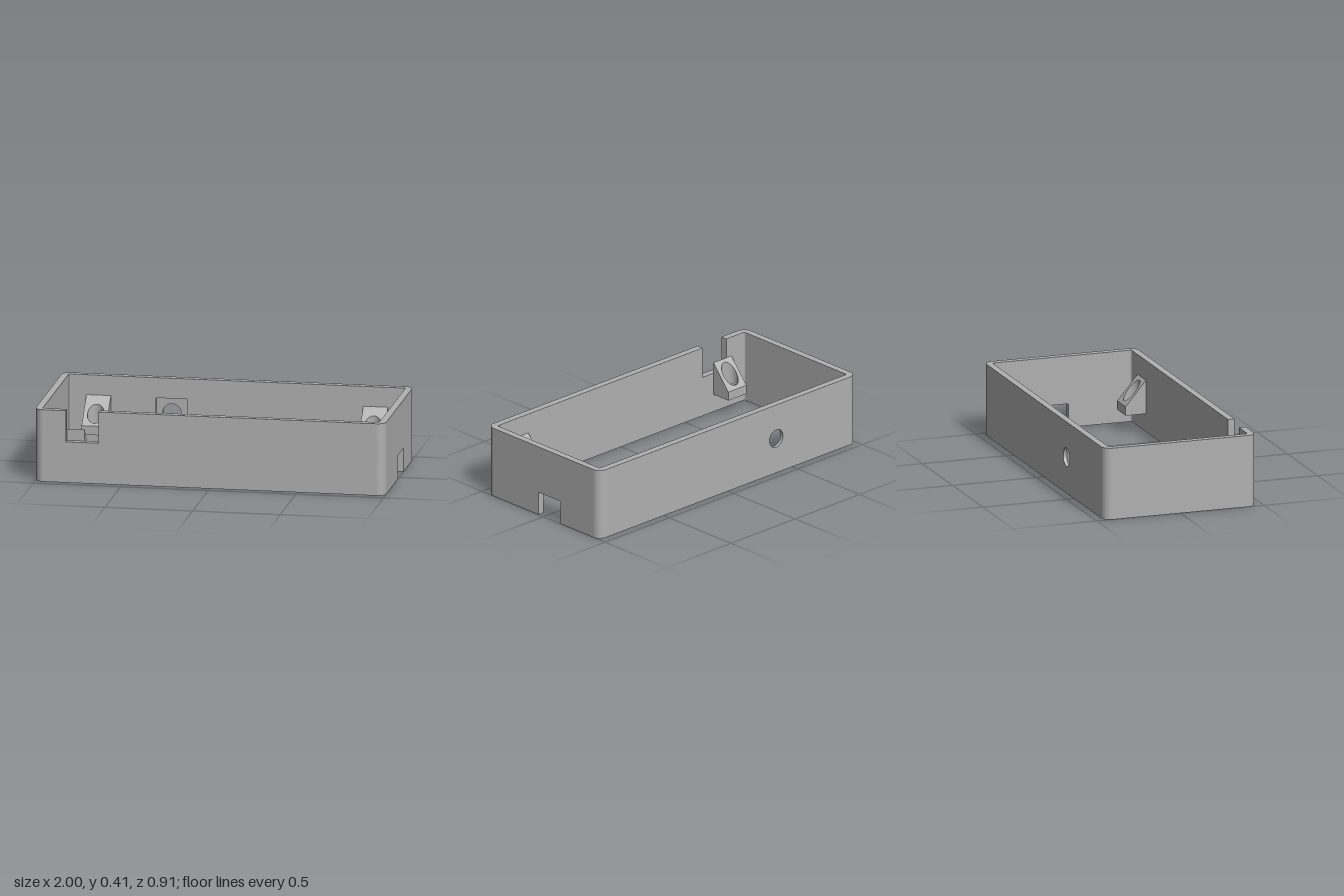
import * as THREE from 'three';
import { toCreasedNormals } from 'three/addons/utils/BufferGeometryUtils.js';

const W = 1, D = 0.455, H = 0.415, T = 0.04, R = 0.05; // half width, half depth, height, wall, corner radius

export function createModel() {
  const model = new THREE.Group();
  model.name = 'enclosureFrame';
  const grey = new THREE.MeshStandardMaterial({ color: 0xb0b0b0 });
  grey.name = 'plastic grey';

  const polygon = (pts) => new THREE.Shape(pts.map(([x, y]) => new THREE.Vector2(x, y)));
  const rect = (x0, y0, x1, y1) => polygon([[x0, y0], [x1, y0], [x1, y1], [x0, y1]]);
  const withHole = (shape, x, y, r) => {
    shape.holes.push(new THREE.Path().absarc(x, y, r, 0, Math.PI * 2, true));
    return shape;
  };
  const extrude = (shape, depth) =>
    new THREE.ExtrudeGeometry(shape, { depth, bevelEnabled: false, curveSegments: 16 });
  const add = (name, geometry, parent = model) => {
    const mesh = new THREE.Mesh(toCreasedNormals(geometry, 0.5), grey);
    mesh.name = name;
    parent.add(mesh);
    return mesh;
  };

  const wx = W - R, wz = D - R; // ends of the straight walls

  // Front wall with a slot open at the top
  add('frontWall', extrude(polygon([
    [-wx, 0], [wx, 0], [wx, H], [-0.635, H], [-0.635, 0.235], [-0.82, 0.235], [-0.82, H], [-wx, H],
  ]), T).translate(0, 0, D - T));

  // Back wall: round hole outside, square recess inside
  const hx = -0.375, hy = 0.21, hs = 0.088;
  add('backWallOuter', extrude(withHole(rect(-wx, 0, wx, H), hx, hy, 0.053), T / 2).translate(0, 0, -D));
  const inner = rect(-wx, 0, wx, H);
  inner.holes.push(rect(hx - hs, hy - hs, hx + hs, hy + hs));
  add('backWallInner', extrude(inner, T / 2).translate(0, 0, -D + T / 2));

  // Side walls; the one at +x has a cutout open at the bottom
  add('leftWall', extrude(polygon([
    [-wz, 0], [-0.14, 0], [-0.14, 0.137], [0.04, 0.137], [0.04, 0], [wz, 0], [wz, H], [-wz, H],
  ]), T).rotateY(-Math.PI / 2).translate(W, 0, 0));
  add('rightWall', extrude(rect(-wz, 0, wz, H), T).rotateY(-Math.PI / 2).translate(-W + T, 0, 0));

  // Rounded corner posts
  for (let i = 0; i < 4; i++) {
    const a = (i * Math.PI) / 2, b = a + Math.PI / 2, mid = a + Math.PI / 4;
    const ring = new THREE.Shape();
    ring.absarc(0, 0, R, a, b, false);
    ring.absarc(0, 0, R - T, b, a, true);
    add('corner', extrude(ring, H).rotateX(-Math.PI / 2)
      .translate(Math.sign(Math.cos(mid)) * wx, 0, -Math.sign(Math.sin(mid)) * wz));
  }

  // Screw mounts: a drilled base under a sloped, counterbored wedge
  const base = 0.105, seat = 0.148, lipY = 0.157, topY = 0.3, wall = D - T;
  const addMount = (x, lip, name) => {
    const mount = new THREE.Group();
    mount.name = name;
    const plan = (r) => withHole(rect(x - 0.07, lip, x + 0.07, wall), x, lip + 0.061, r);
    add('mountBase', extrude(plan(0.026), seat - base).rotateX(-Math.PI / 2).translate(0, base, 0), mount);
    const wedge = extrude(plan(0.047), 1).rotateX(-Math.PI / 2);
    const p = wedge.attributes.position;
    for (let i = 0; i < p.count; i++) {
      const slope = lipY + ((topY - lipY) * (-p.getZ(i) - lip)) / (wall - lip);
      p.setY(i, p.getY(i) > 0.5 ? slope : seat);
    }
    add('mountWedge', wedge, mount);
    model.add(mount);
    return mount;
  };
  for (const x of [-0.79, 0.79]) {
    addMount(x, 0.262, 'backMount');
    addMount(x, 0.294, 'frontMount').rotation.y = Math.PI;
  }
  return model;
}
